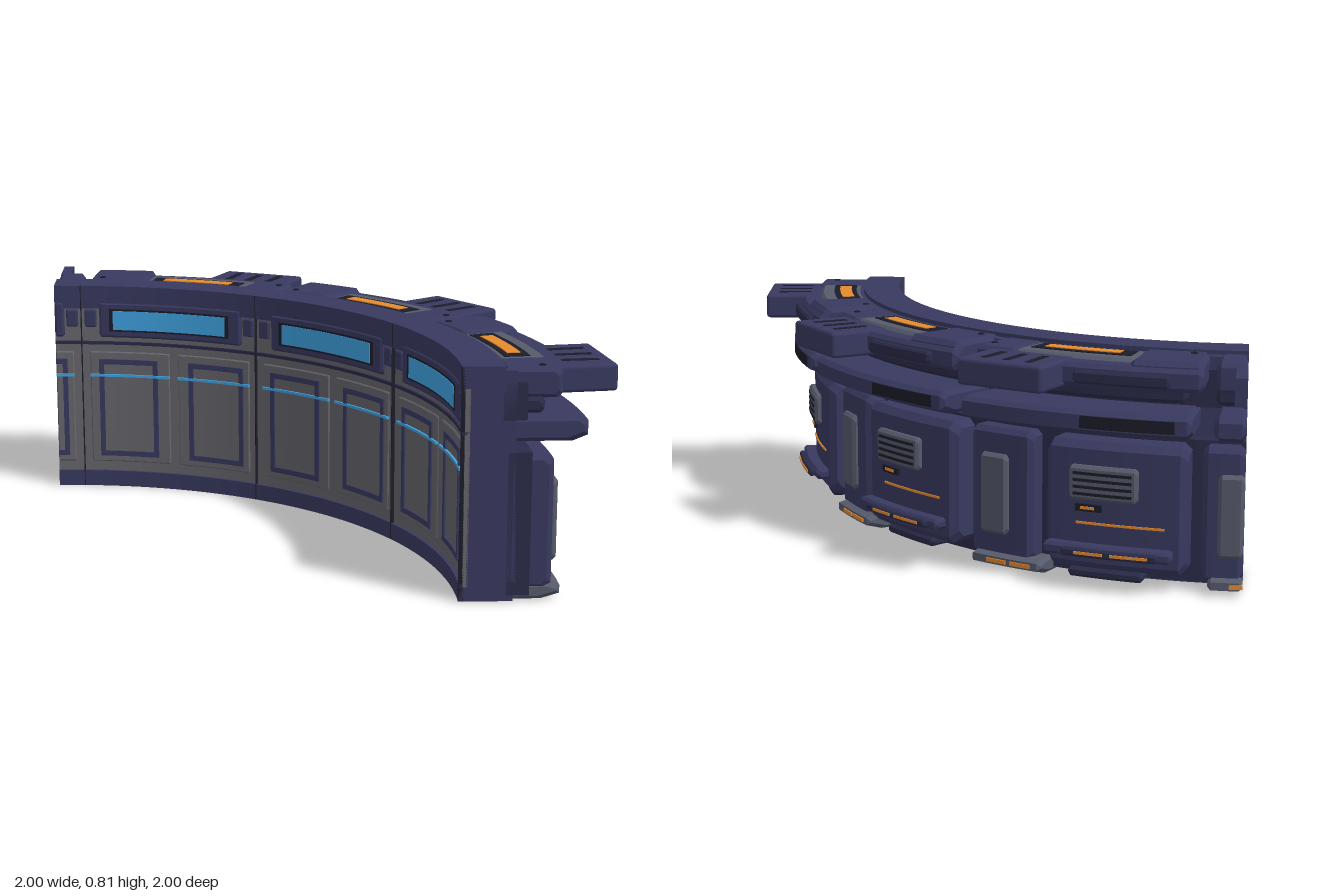
import * as THREE from 'three';
import { toCreasedNormals } from 'three/addons/utils/BufferGeometryUtils.js';
import { RoundedBoxGeometry } from 'three/addons/geometries/RoundedBoxGeometry.js';

const mat = (color) => new THREE.MeshStandardMaterial({ color, side: THREE.DoubleSide });
const navy = mat(0x38395f), deep = mat(0x2a2b48), dark = mat(0x1b1c28), steel = mat(0x565a6a);
const grey = mat(0x66666c), blue = mat(0x40a4e4), orange = mat(0xe68a2e);

const RAD = Math.PI / 180;
const STEP = 0.5 / RAD; // one wall segment spans half a radian
const END = 90;         // the ring is cut off at a quarter turn

// Sweeps a convex (radius, height) outline about the ring centre (-1, 1); ends shrink by `bevel`.
function sweep(outline, a0, a1, bevel) {
  const cr = outline.reduce((s, p) => s + p[0], 0) / outline.length;
  const cy = outline.reduce((s, p) => s + p[1], 0) / outline.length;
  const ends = Math.min(bevel / cr / RAD, (a1 - a0) / 4);
  const n = Math.max(1, Math.ceil((a1 - a0) / 2.4));
  const stops = [];
  for (let i = 0; i <= n; i++) stops.push([a0 + ends + (a1 - a0 - 2 * ends) * i / n, 0]);
  if (bevel > 0) {
    stops.unshift([a0, bevel]);
    stops.push([a1, bevel]);
  }
  const rings = stops.map(([a, inset]) => outline.map(([r, y]) => {
    const rr = r - Math.sign(r - cr) * Math.min(inset, Math.abs(r - cr));
    const yy = y - Math.sign(y - cy) * Math.min(inset, Math.abs(y - cy));
    return [-1 + rr * Math.cos(a * RAD), yy, 1 - rr * Math.sin(a * RAD)];
  }));
  const pos = [];
  const tri = (...corners) => corners.forEach((c) => pos.push(...c));
  const m = outline.length, last = rings[rings.length - 1];
  for (let s = 0; s < rings.length - 1; s++) {
    for (let i = 0; i < m; i++) {
      const j = (i + 1) % m, A = rings[s], B = rings[s + 1];
      tri(A[i], B[i], B[j]);
      tri(A[i], B[j], A[j]);
    }
  }
  for (let i = 1; i < m - 1; i++) {
    tri(rings[0][0], rings[0][i], rings[0][i + 1]);
    tri(last[0], last[i + 1], last[i]);
  }
  const geo = new THREE.BufferGeometry();
  geo.setAttribute('position', new THREE.Float32BufferAttribute(pos, 3));
  return toCreasedNormals(geo, 0.3);
}

function add(parent, name, geo, material) {
  const mesh = new THREE.Mesh(geo, material);
  mesh.name = name;
  parent.add(mesh);
  return mesh;
}

// Curved part with any outline, clipped to the quarter ring
function profile(parent, name, material, a0, a1, outline, bevel = 0) {
  const s = Math.max(a0, 0), e = Math.min(a1, END);
  if (e - s > 0.05) add(parent, name, sweep(outline, s, e, bevel), material);
}

// Curved block with optional chamfer
function arc(parent, name, material, a0, a1, r0, r1, y0, y1, b = 0) {
  const outline = b === 0
    ? [[r0, y0], [r1, y0], [r1, y1], [r0, y1]]
    : [[r0 + b, y0], [r1 - b, y0], [r1, y0 + b], [r1, y1 - b],
      [r1 - b, y1], [r0 + b, y1], [r0, y1 - b], [r0, y0 + b]];
  profile(parent, name, material, a0, a1, outline, b);
}

// Straight box turned to face outward
function box(parent, name, material, a, r, y, size, round = 0) {
  const geo = round ? new RoundedBoxGeometry(...size, 2, round) : new THREE.BoxGeometry(...size);
  const mesh = add(parent, name, geo, material);
  mesh.position.set(-1 + r * Math.cos(a * RAD), y, 1 - r * Math.sin(a * RAD));
  mesh.rotation.y = a * RAD;
}

function innerFace(g, t) {
  // window with frame and side clips
  arc(g, 'windowFrame', navy, t + 2.6, t + 25.8, 1.455, 1.49, 0.61, 0.75, 0.008);
  arc(g, 'windowRecess', dark, t + 4.6, t + 24.2, 1.453, 1.47, 0.635, 0.725);
  arc(g, 'windowGlass', blue, t + 5.2, t + 23.6, 1.451, 1.47, 0.642, 0.718);
  for (const a of [0.5, 26.3]) arc(g, 'windowClip', navy, t + a, t + a + 1.8, 1.46, 1.49, 0.65, 0.72, 0.005);
  // two lower panels, each with a framed inset and a light strip
  for (const [p0, p1, f0, f1] of [[1.3, 13.4, 16.5 - 14.2, 11.6], [14.8, 27.4, 16.7, 26]]) {
    arc(g, 'liningPanel', grey, t + p0, t + p1, 1.466, 1.49, 0.1, 0.55, 0.004);
    for (const y of [0.125, 0.5]) arc(g, 'panelFrameRail', navy, t + f0, t + f1, 1.46, 1.48, y, y + 0.02);
    for (const a of [f0, f1 - 0.75]) arc(g, 'panelFrameStile', navy, t + a, t + a + 0.75, 1.46, 1.48, 0.125, 0.52);
    arc(g, 'lightStrip', blue, t + p0, t + p1, 1.458, 1.475, 0.45, 0.46);
  }
  arc(g, 'liningSeam', dark, t - 0.06, t + 0.06, 1.458, 1.48, 0, 0.815);
}

function outerFace(g, t) {
  // pillar with an upright plate
  arc(g, 'pillar', navy, t - 0.6, t + 8, 1.62, 1.775, 0.04, 0.51, 0.018);
  arc(g, 'pillarPlate', steel, t + 1.2, t + 5, 1.74, 1.795, 0.13, 0.42, 0.012);
  // equipment bay
  arc(g, 'bay', navy, t + 10.3, t + 26.6, 1.62, 1.81, 0.06, 0.51, 0.025);
  arc(g, 'grille', steel, t + 13.5, t + 21.3, 1.78, 1.835, 0.31, 0.43, 0.01);
  for (let i = 0; i < 4; i++) {
    arc(g, 'grilleSlot', dark, t + 14.1, t + 20.7, 1.82, 1.838, 0.328 + i * 0.024, 0.338 + i * 0.024);
  }
  arc(g, 'switchPlate', dark, t + 14.2, t + 17.2, 1.79, 1.822, 0.268, 0.293);
  arc(g, 'switchLight', orange, t + 14.8, t + 16.4, 1.8, 1.825, 0.276, 0.286);
  arc(g, 'bayLine', orange, t + 14.2, t + 24.2, 1.79, 1.815, 0.221, 0.229);
  arc(g, 'bayShelf', navy, t + 10.8, t + 25.2, 1.78, 1.86, 0.115, 0.155, 0.01);
  arc(g, 'bayShelfBumper', deep, t + 13.2, t + 23.8, 1.8, 1.878, 0.12, 0.148, 0.006);
  for (const [a, b] of [[14.8, 18], [18.8, 22.8]]) arc(g, 'shelfLight', orange, t + a, t + b, 1.84, 1.882, 0.13, 0.14);
  // sloping skirt foot with lights
  profile(g, 'skirtFoot', steel, t + 0.2, t + 9.6, [[1.6, 0.003], [1.74, 0.003], [1.805, 0.022], [1.805, 0.05], [1.77, 0.06], [1.6, 0.06]], 0.012);
  for (const [a, b] of [[2.6, 5.2], [5.8, 8.4]]) arc(g, 'footLight', orange, t + a, t + b, 1.79, 1.81, 0.029, 0.043);
  arc(g, 'baySill', deep, t + 12.5, t + 21.5, 1.62, 1.77, 0.015, 0.05, 0.01);
  // ledge above the bays
  profile(g, 'ledge', navy, t + 0.8, t + 27.2, [[1.6, 0.55], [1.84, 0.55], [1.89, 0.57], [1.89, 0.62], [1.87, 0.635], [1.6, 0.635]], 0.015);
  arc(g, 'ledgeInset', dark, t + 15.5, t + 25.5, 1.85, 1.893, 0.575, 0.618);
  arc(g, 'upperBand', deep, t + 0.6, t + 26, 1.6, 1.74, 0.65, 0.705, 0.012);
}

function roof(g, t, k) {
  arc(g, 'roofEndBlock', navy, t + 0.7, t + 6.2, 1.6, 1.8, 0.7, 0.805, 0.015);
  arc(g, 'roofMainBlock', navy, t + 12, t + 28.2, 1.72, 1.86, 0.71, 0.79, 0.015);
  arc(g, 'roofCornerBlock', navy, t + 20.2, t + 28.2, 1.61, 1.845, 0.71, 0.812, 0.018);
  arc(g, 'roofRim', deep, t + 14.5, t + 24.8, 1.82, 1.885, 0.725, 0.77, 0.008);
  arc(g, 'lampPlate', steel, t + 5.8, t + 20.4, 1.61, 1.78, 0.71, 0.802, 0.012);
  arc(g, 'lampRecess', dark, t + 6.9, t + 19.4, 1.635, 1.725, 0.77, 0.805);
  arc(g, 'lamp', orange, t + 8.3, t + 17.8, 1.655, 1.702, 0.78, 0.808);
  if (k === 3) {
    arc(g, 'roofPod', navy, t + 2.9, t + 13, 1.8, 2, 0.7, 0.795);
    return;
  }
  // overhanging pod with three slots, and two bolts
  box(g, 'roofPod', navy, t + 7.95, 1.88, 0.748, [0.23, 0.095, 0.335], 0.014);
  for (const s of [-1, 0, 1]) {
    box(g, 'podSlot', dark, t + 7.95 + s * 2.6, 1.885, 0.785, [0.13, 0.024, 0.026]);
  }
  for (const [a, r, y] of [[2, 1.735, 0.804], [26.4, 1.66, 0.811]]) {
    const bolt = add(g, 'roofBolt', new THREE.CylinderGeometry(0.012, 0.012, 0.008, 12), dark);
    bolt.position.set(-1 + r * Math.cos((t + a) * RAD), y, 1 - r * Math.sin((t + a) * RAD));
  }
}

export function createModel() {
  const model = new THREE.Group();
  model.name = 'curvedWall';
  // continuous shell
  arc(model, 'wallCore', navy, 0, END, 1.485, 1.645, 0, 0.8);
  arc(model, 'wallLining', grey, 0, END, 1.472, 1.49, 0.05, 0.74);
  arc(model, 'baseTrim', navy, 0, END, 1.46, 1.5, 0, 0.062);
  arc(model, 'middleTrim', deep, 0, END, 1.462, 1.49, 0.58, 0.592);
  arc(model, 'topRail', navy, 0, END, 1.46, 1.605, 0.725, 0.815);
  arc(model, 'outerBacking', deep, 0, END, 1.62, 1.7, 0.02, 0.52);
  arc(model, 'roofBacking', deep, 0, END, 1.6, 1.68, 0.63, 0.76);
  // repeating segments; the last one is cut by the end of the ring
  for (let k = 0; k < 4; k++) {
    const segment = new THREE.Group();
    segment.name = 'wallSegment' + (k + 1);
    innerFace(segment, k * STEP);
    outerFace(segment, k * STEP);
    roof(segment, k * STEP, k);
    model.add(segment);
  }
  return model;
}
